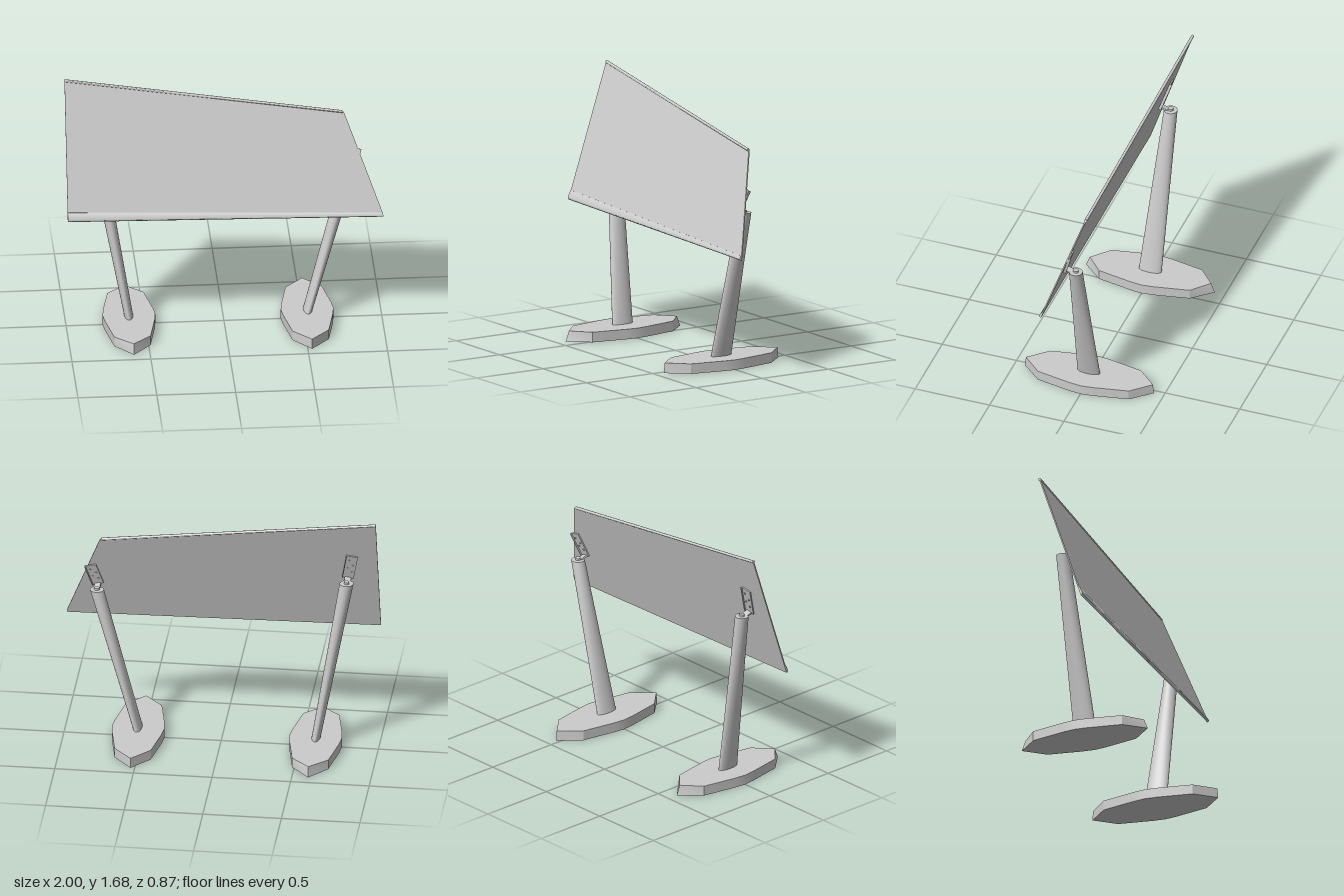
import * as THREE from 'three';
import { toCreasedNormals } from 'three/addons/utils/BufferGeometryUtils.js';

const grey = new THREE.MeshStandardMaterial({ color: 0xcccccc, side: THREE.DoubleSide });
const lerp = THREE.MathUtils.lerp;

function add(parent, name, geometry, x = 0, y = 0, z = 0) {
  const mesh = new THREE.Mesh(geometry, grey);
  mesh.name = name;
  mesh.position.set(x, y, z);
  parent.add(mesh);
  return mesh;
}

// Apply a rule to every vertex of a geometry
function reshape(geometry, rule) {
  const p = geometry.attributes.position, v = new THREE.Vector3();
  for (let i = 0; i < p.count; i++) {
    v.fromBufferAttribute(p, i);
    rule(v);
    p.setXYZ(i, v.x, v.y, v.z);
  }
  geometry.computeVertexNormals();
  return geometry;
}

const shapeOf = (pts) => new THREE.Shape(pts.map(([x, y]) => new THREE.Vector2(x, y)));

// Eight-sided foot with pointed ends and slightly drawn-in top tips
function footGeometry(inset) {
  const outline = [[0, -0.433], [0.115, -0.305], [0.158, -0.08], [0.167, 0], [0.158, 0.08], [0.115, 0.305],
    [0, 0.433], [-0.115, 0.305], [-0.158, 0.08], [-0.167, 0], [-0.158, -0.08], [-0.115, -0.305]];
  const geometry = new THREE.ExtrudeGeometry(shapeOf(outline), { depth: 0.065, bevelEnabled: false });
  geometry.rotateX(-Math.PI / 2);
  reshape(geometry, (v) => {
    if (v.y > 0.03 && Math.abs(v.z) > 0.4) v.z -= Math.sign(v.z) * inset;
  });
  return toCreasedNormals(geometry, 0.35);
}

// Leaning leg: a flat ellipse at the foot that becomes round at the top
function legGeometry(from, to) {
  return reshape(new THREE.CylinderGeometry(1, 1, 1, 40, 8), (v) => {
    const t = v.y + 0.5;
    v.x = lerp(from.x, to.x, t) + v.x * lerp(0.028, 0.044, t);
    v.z = lerp(from.z, to.z, t) + v.z * lerp(0.076, 0.043, t);
    v.y = lerp(from.y, to.y, t);
  });
}

// Section swept along a board edge, scaled in height from one end to the other
function edgeGeometry(section, from, to, scaleFrom, scaleTo) {
  const geometry = new THREE.ExtrudeGeometry(section, { depth: 1, bevelEnabled: false, curveSegments: 8 });
  reshape(geometry, (v) => {
    const t = v.z, h = v.y * lerp(scaleFrom, scaleTo, t);
    v.set(lerp(from[0], to[0], t) - 0.35 * h * t, lerp(from[1], to[1], t) + h, -v.x);
  });
  return toCreasedNormals(geometry, 0.7);
}

export function createModel() {
  const model = new THREE.Group();
  const tilt = 0.322;

  // Board and everything fixed to it, in its own leaning frame
  const board = new THREE.Group();
  board.name = 'board';
  board.position.set(0, 0.78, 0.158);
  board.rotation.x = -tilt;
  model.add(board);

  const sheet = shapeOf([[-1, 0.034], [1, 0], [0.995, 0.025], [0.768, 0.668], [0.755, 0.686], [-1, 0.945]]);
  add(board, 'panel', new THREE.ExtrudeGeometry(sheet, { depth: 0.008, bevelEnabled: false }), 0, 0, -0.004);

  // Rounded ledge along the bottom, tapering towards the left
  const ledge = new THREE.Shape();
  ledge.moveTo(0.004, 0);
  ledge.lineTo(0.004, 1);
  ledge.lineTo(-0.006, 1);
  ledge.quadraticCurveTo(-0.014, 0.5, -0.01, 0.1);
  ledge.quadraticCurveTo(-0.004, -0.05, 0.004, 0);
  add(board, 'bottomLedge', edgeGeometry(ledge, [-1, 0.034], [1, 0], 0.06, 0.028));

  // Rolled rim along the top
  const rim = new THREE.Shape().absarc(0, 0, 0.0095, 0, Math.PI * 2);
  add(board, 'topRim', edgeGeometry(rim, [-1, 0.938], [0.755, 0.68], 1, 1));

  // Feet, legs and mounting brackets
  const supports = [
    { side: 'right', foot: -0.602, inset: 0.025, top: new THREE.Vector3(-0.805, 1.205, -0.062), plate: 0.2 },
    { side: 'left', foot: 0.527, inset: 0.006, top: new THREE.Vector3(0.79, 1.035, -0.004), plate: 0.17 },
  ];
  for (const { side, foot, inset, top, plate } of supports) {
    const support = new THREE.Group();
    support.name = side + 'Support';
    model.add(support);
    add(support, 'foot', footGeometry(inset), foot, 0, 0);
    const base = new THREE.Vector3(foot, 0.05, 0.003);
    add(support, 'leg', legGeometry(base, top));
    add(support, 'legCap', new THREE.CylinderGeometry(0.017, 0.017, 0.014, 20), top.x, top.y + 0.006, top.z);

    // Bracket plate with bolts on the back of the board, turned with the leg
    const bracket = new THREE.Group();
    bracket.name = side + 'Bracket';
    bracket.position.set(top.x, (top.y + 0.01 - 0.78) / Math.cos(tilt), -0.008);
    bracket.rotation.z = Math.atan2(base.x - top.x, top.y - base.y);
    board.add(bracket);
    add(bracket, 'plate', new THREE.BoxGeometry(0.075, plate, 0.008), 0, plate / 2, 0);
    add(bracket, 'flange', new THREE.BoxGeometry(0.006, plate, 0.014), 0.0345, plate / 2, -0.006);
    for (const [x, y] of [[-0.018, 0.3], [0.012, 0.45], [-0.018, 0.6], [0.012, 0.8]]) {
      const bolt = add(bracket, 'bolt', new THREE.CylinderGeometry(0.006, 0.006, 0.006, 12), x, y * plate, -0.006);
      bolt.rotation.x = Math.PI / 2;
    }
    // Tongue joining the plate to the leg
    add(bracket, 'tongue', new THREE.BoxGeometry(0.04, 0.012, 0.05), 0, 0.004, -0.026);
  }
  return model;
}
